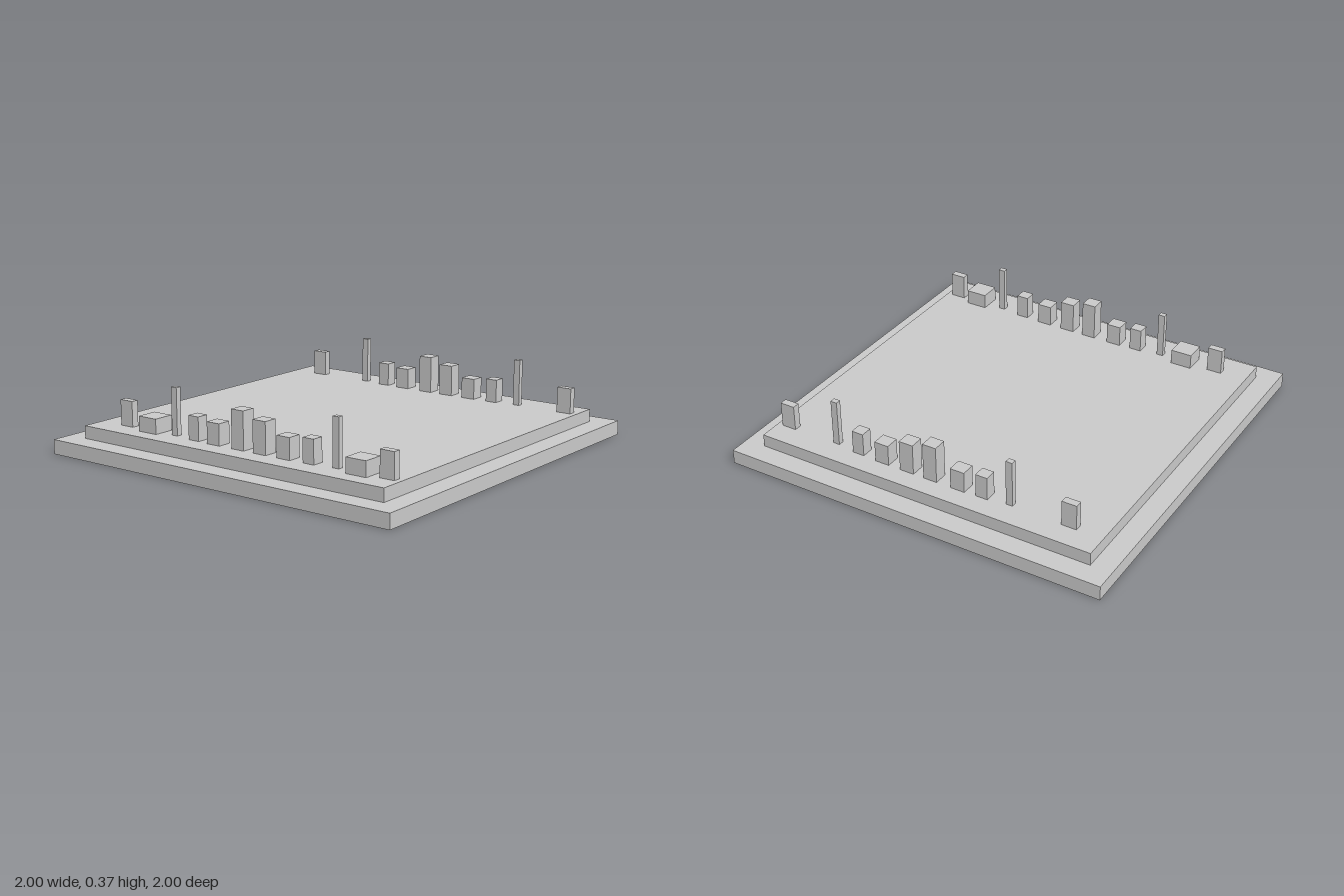
import * as THREE from 'three';

const stone = new THREE.MeshStandardMaterial({ color: 0xc8c8c8 });
stone.name = 'lightGrey';

// Box standing on height y
function block(name, x, y, z, w, h, d) {
  const mesh = new THREE.Mesh(new THREE.BoxGeometry(w, h, d), stone);
  mesh.name = name;
  mesh.position.set(x, y + h / 2, z);
  return mesh;
}

export function createModel() {
  const model = new THREE.Group();
  model.name = 'boardWithBlocks';

  // Stepped board
  const baseTop = 0.073, boardTop = 0.137;
  model.add(block('base', 0, 0, 0, 2, baseTop, 2));
  model.add(block('board', 0, baseTop, 0, 1.786, boardTop - baseTop, 1.786));

  // Block types: width, height, depth
  const types = {
    endBlock: [0.077, 0.128, 0.038],
    wideBlock: [0.11, 0.075, 0.108],
    post: [0.034, 0.234, 0.028],
    mediumBlock: [0.062, 0.118, 0.061],
    lowBlock: [0.075, 0.106, 0.072],
    tallBlock: [0.072, 0.188, 0.072],
    upperBlock: [0.075, 0.158, 0.072],
  };

  // Order along each row
  const row = [
    ['endBlock', -0.721], ['wideBlock', -0.55], ['post', -0.411],
    ['mediumBlock', -0.275], ['lowBlock', -0.149], ['tallBlock', 0],
    ['upperBlock', 0.129], ['lowBlock', 0.268], ['mediumBlock', 0.407],
    ['post', 0.547], ['wideBlock', 0.686], ['endBlock', 0.826],
  ];

  // Front and back rows; only the front has the wide blocks
  for (const side of [1, -1]) {
    const group = new THREE.Group();
    group.name = side > 0 ? 'frontRow' : 'backRow';
    for (const [type, x] of row) {
      if (side < 0 && type === 'wideBlock') continue;
      group.add(block(type, x, boardTop, side * 0.759, ...types[type]));
    }
    model.add(group);
  }
  return model;
}
